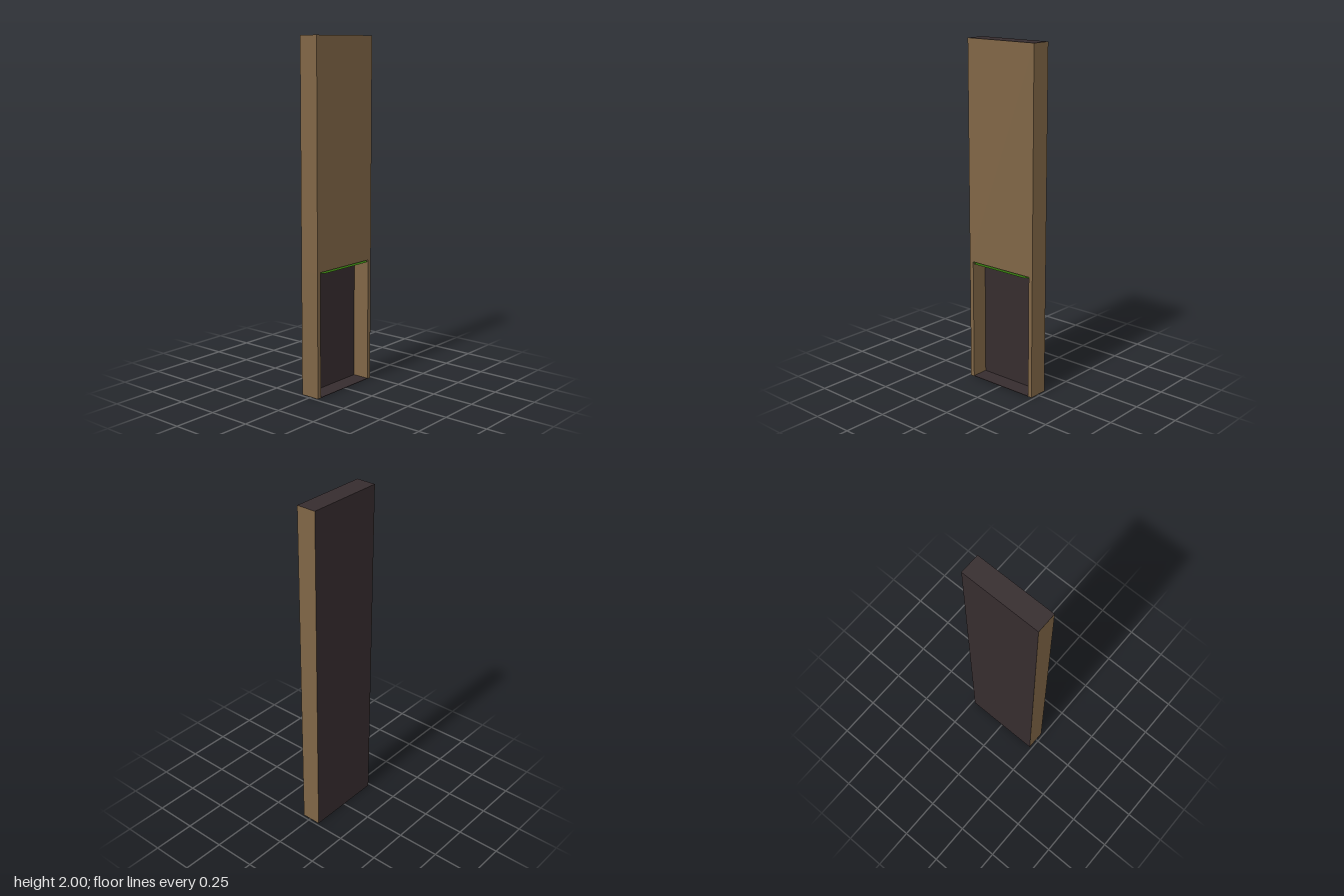
import * as THREE from 'three';

const material = (name, color, side = THREE.FrontSide) => {
  const m = new THREE.MeshStandardMaterial({ color, side });
  m.name = name;
  return m;
};

export function createModel() {
  const group = new THREE.Group();
  group.name = 'cabinetPanel';
  const brown = material('brown wood', 0x806646);
  const dark = material('dark wood', 0x362c2e);
  const green = material('green', 0x33700f, THREE.DoubleSide);

  // Outer limits, recess limits
  const X0 = -0.065, X1 = 0.052, Z = 0.235;
  const backX = -0.05, openZ = 0.21, openY = 0.72;

  // Box between two corners; materials in order +x -x +y -y +z -z
  function box(name, [x0, y0, z0], [x1, y1, z1], materials) {
    const mesh = new THREE.Mesh(new THREE.BoxGeometry(x1 - x0, y1 - y0, z1 - z0), materials);
    mesh.position.set((x0 + x1) / 2, (y0 + y1) / 2, (z0 + z1) / 2);
    mesh.name = name;
    group.add(mesh);
  }

  // Solid upper body, with the green ceiling of the recess below
  box('upperBody', [X0, openY, -Z], [X1, 2, Z], [brown, dark, dark, green, brown, brown]);

  // Back wall of the recess
  box('backWall', [X0, 0, -Z], [backX, openY, Z], [dark, dark, dark, dark, brown, brown]);

  // Side posts of the recess
  box('leftPost', [backX, 0, openZ], [X1, openY, Z], [brown, dark, dark, dark, brown, brown]);
  box('rightPost', [backX, 0, -Z], [X1, openY, -openZ], [brown, dark, dark, dark, brown, brown]);

  // Thin floor of the recess
  box('floor', [backX, 0, -openZ], [X1, 0.003, openZ], dark);

  // Flat canopy sheet, its lip standing out past the face
  const sheet = new THREE.Shape([
    [backX, -openZ], [X1, -openZ], [X1, -0.19], [0.065, -0.19],
    [0.065, 0.19], [X1, 0.19], [X1, openZ], [backX, openZ],
  ].map(([x, z]) => new THREE.Vector2(x, z)));
  const canopy = new THREE.Mesh(new THREE.ShapeGeometry(sheet).rotateX(-Math.PI / 2), green);
  canopy.position.y = 0.713;
  canopy.name = 'canopy';
  group.add(canopy);

  return group;
}
